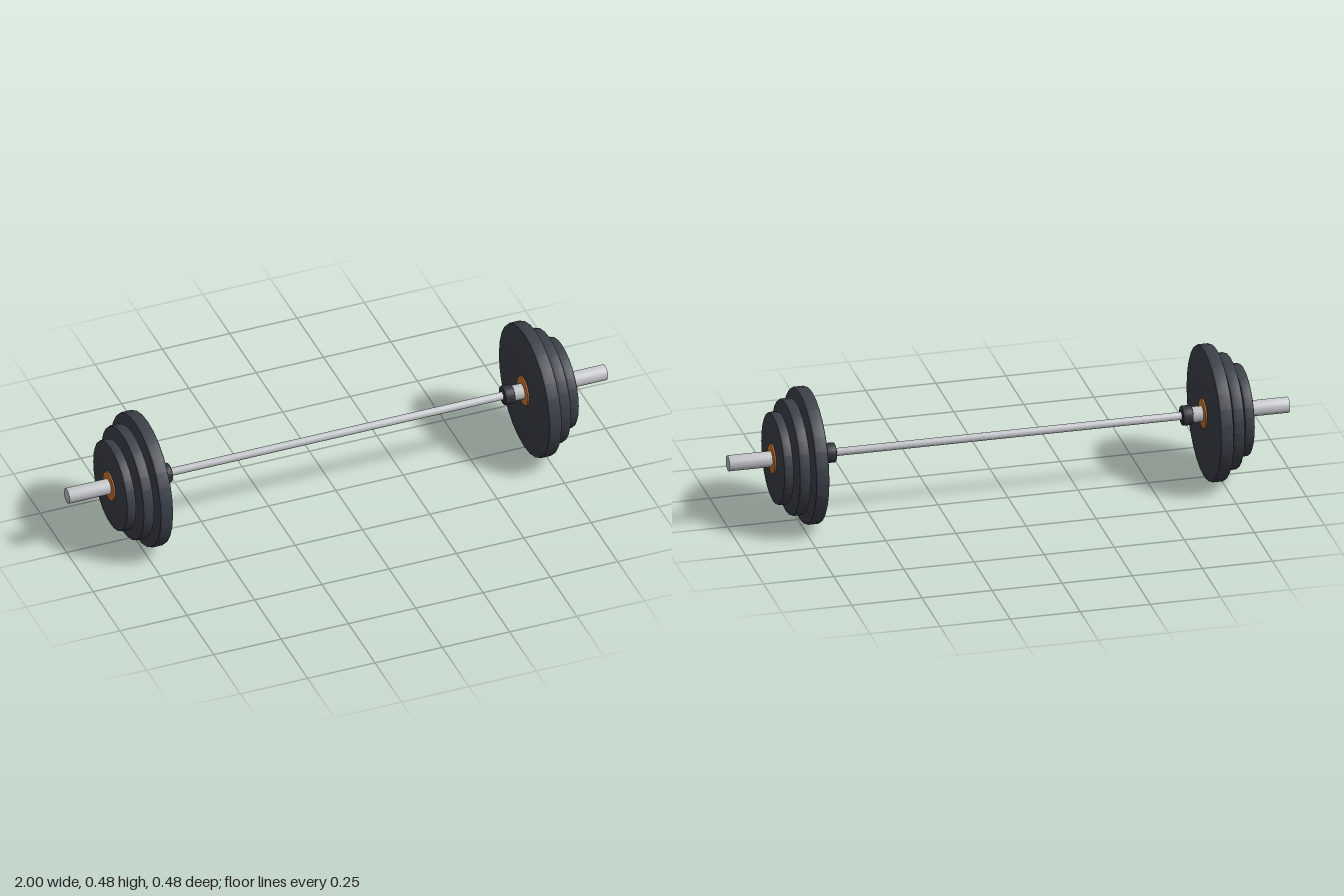
import * as THREE from 'three';
import { toCreasedNormals } from 'three/addons/utils/BufferGeometryUtils.js';

const AXIS_Y = 0.241;

function material(name, color) {
  const m = new THREE.MeshStandardMaterial({ color });
  m.name = name;
  return m;
}

// Solid disc or rod along x from x0 to x1, with chamfered rims
function turned(name, x0, x1, radius, chamfer, sides, mat) {
  const c = chamfer;
  const profile = [
    [0, x0], [radius - c, x0], [radius - c * 0.3, x0 + c * 0.3], [radius, x0 + c],
    [radius, x1 - c], [radius - c * 0.3, x1 - c * 0.3], [radius - c, x1], [0, x1],
  ].map(([r, x]) => new THREE.Vector2(r, x));
  const geometry = new THREE.LatheGeometry(profile, sides);
  geometry.rotateZ(-Math.PI / 2);
  const mesh = new THREE.Mesh(toCreasedNormals(geometry, 0.45), mat);
  mesh.name = name;
  return mesh;
}

export function createModel() {
  const steel = material('steel', 0xc6c9cd);
  const rubber = material('dark rubber', 0x3c414a);
  const collarDark = material('dark collar', 0x30343b);
  const orange = material('orange hub', 0xd6782f);

  const model = new THREE.Group();
  model.name = 'barbell';
  const axle = new THREE.Group();
  axle.name = 'axle';
  axle.position.y = AXIS_Y;
  model.add(axle);

  // Thin grip bar
  axle.add(turned('gripBar', -0.66, 0.66, 0.014, 0.001, 24, steel));

  // Same weights at both ends
  for (const [side, turn] of [['left', 0], ['right', Math.PI]]) {
    const end = new THREE.Group();
    end.name = side + 'End';
    end.rotation.y = turn;
    end.add(
      turned('collar', 0.617, 0.655, 0.035, 0.006, 24, collarDark),
      turned('sleeve', 0.645, 1, 0.028, 0.002, 24, steel),
      turned('hub', 0.691, 0.846, 0.053, 0.003, 28, orange),
      turned('largePlate', 0.697, 0.746, 0.24, 0.007, 28, rubber),
      turned('mediumPlate', 0.753, 0.795, 0.204, 0.007, 28, rubber),
      turned('smallPlate', 0.804, 0.84, 0.162, 0.006, 28, rubber),
    );
    axle.add(end);
  }
  return model;
}
